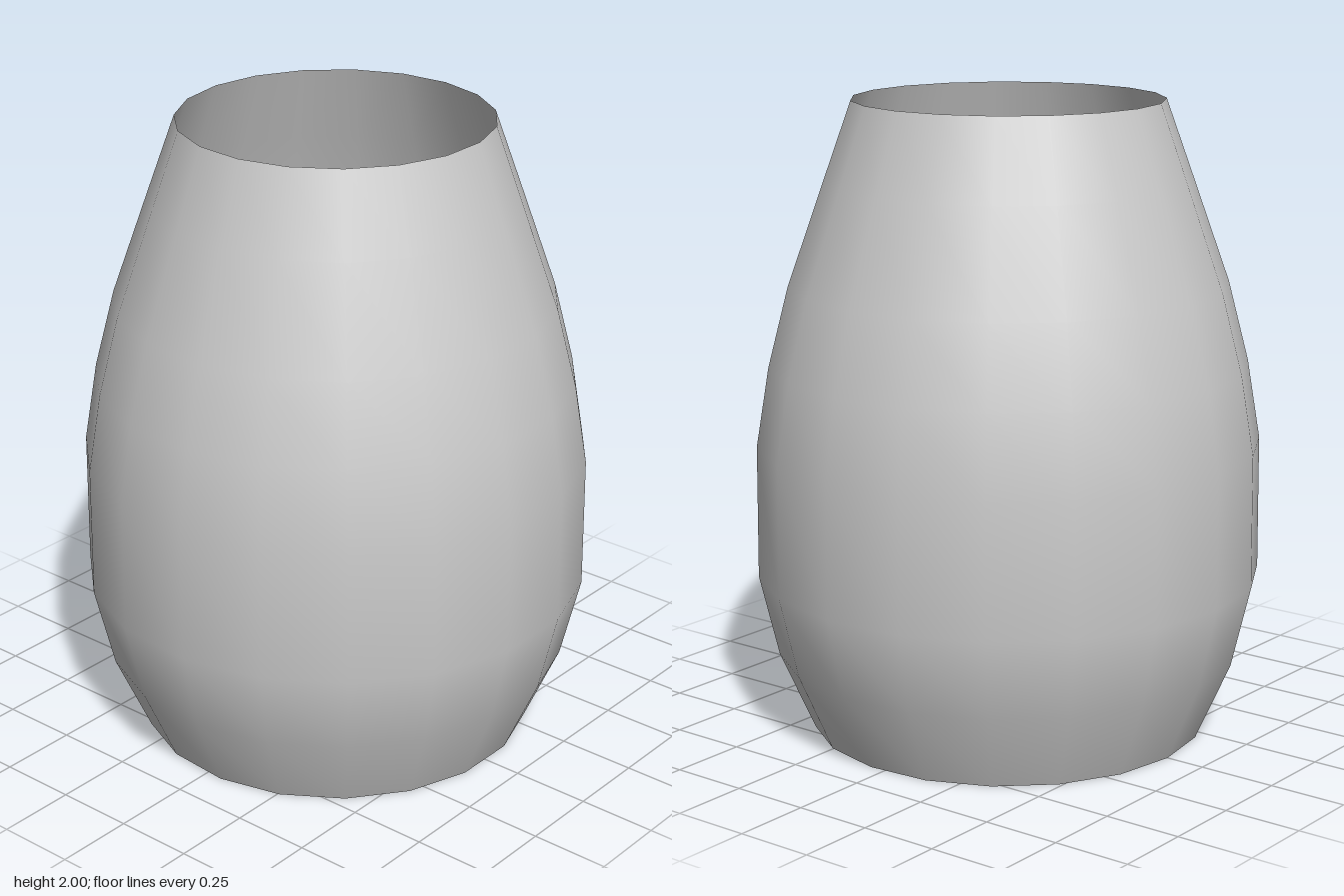
import * as THREE from 'three';

export function createModel() {
  const group = new THREE.Group();

  // Barrel-like outline, bottom rim to top rim: [radius, height]
  const profile = [
    [0.625, 0], [0.735, 0.25], [0.796, 0.51], [0.793, 0.93],
    [0.752, 1.18], [0.688, 1.43], [0.575, 1.75], [0.486, 2],
  ].map(([r, y]) => new THREE.Vector2(r, y));

  // Thin 19-sided shell, open at both ends, with one corner on -x
  const shell = new THREE.Mesh(
    new THREE.LatheGeometry(profile, 19, -Math.PI / 2),
    new THREE.MeshStandardMaterial({ color: 0xcccccc, side: THREE.DoubleSide })
  );
  shell.name = 'openShell';
  shell.position.x = 0.004; // centres the odd-sided ring
  group.add(shell);

  return group;
}
